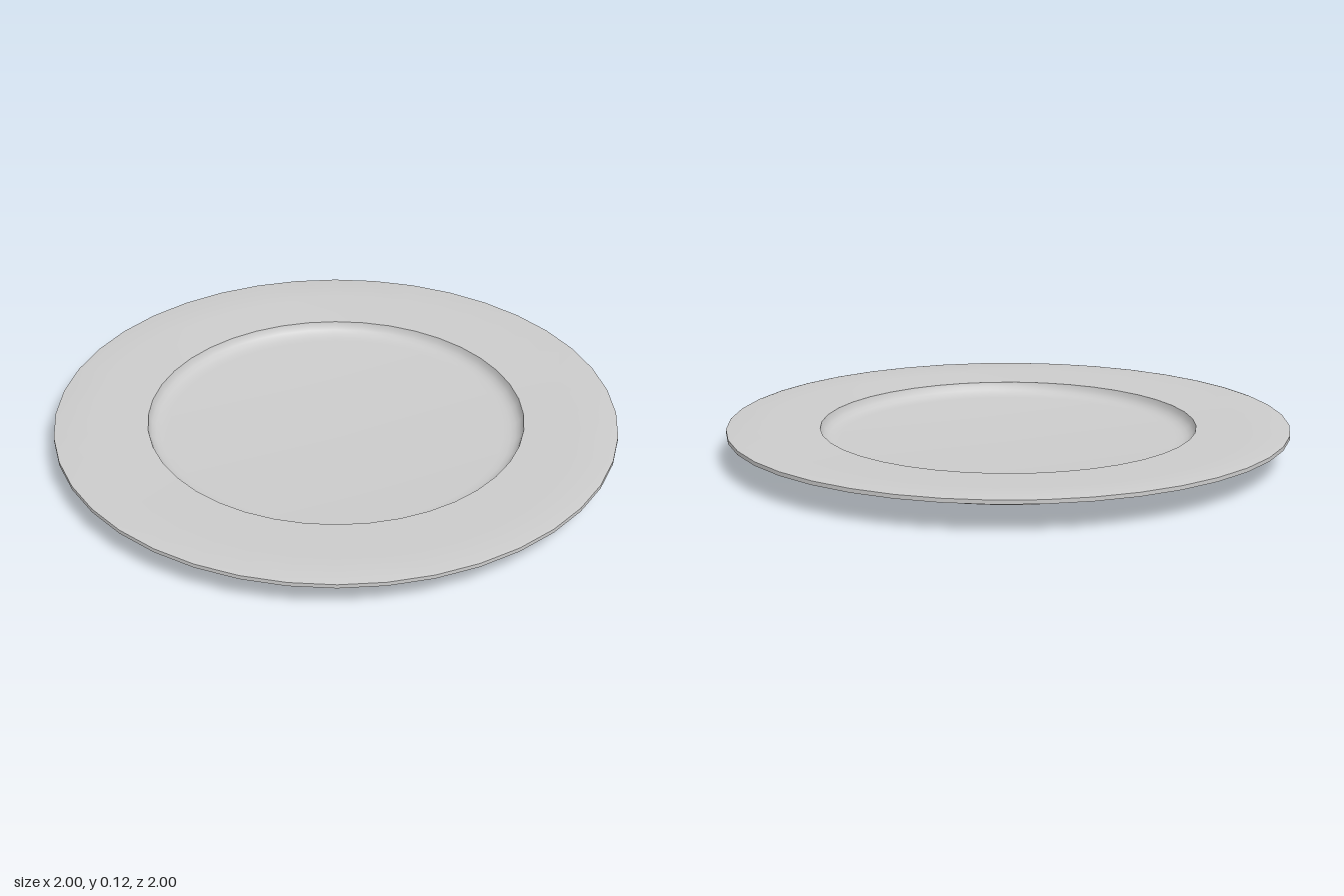
import * as THREE from 'three';
import { toCreasedNormals } from 'three/addons/utils/BufferGeometryUtils.js';

const SEGMENTS = 40;

export function createModel() {
  const group = new THREE.Group();
  group.name = 'dinnerPlate';
  const material = new THREE.MeshStandardMaterial({ color: 0xcccccc });

  // Each profile runs [radius, height], counter-clockwise round the solid
  const addLathe = (name, profile) => {
    const points = profile.map(([r, y]) => new THREE.Vector2(r, y));
    const geometry = toCreasedNormals(new THREE.LatheGeometry(points, SEGMENTS), 0.6);
    const mesh = new THREE.Mesh(geometry, material);
    mesh.name = name;
    group.add(mesh);
  };

  // Recessed base and standing foot ring
  addLathe('footRing', [
    [0, 0.03], [0.645, 0.03], [0.645, 0], [0.67, 0], [0.67, 0.038],
  ]);

  // Flared underside, thin lip and nearly level rim
  addLathe('rim', [
    [0.67, 0.038], [0.678, 0.045], [0.69, 0.051], [0.715, 0.055],
    [0.85, 0.073], [0.94, 0.087], [1, 0.099],
    [1, 0.113], [0.99, 0.115], [0.85, 0.112], [0.67, 0.107],
  ]);

  // Sunken eating surface with a rounded wall
  addLathe('well', [
    [0.67, 0.107], [0.666, 0.092], [0.657, 0.079], [0.643, 0.069],
    [0.625, 0.064], [0.6, 0.062], [0, 0.062],
  ]);

  return group;
}
